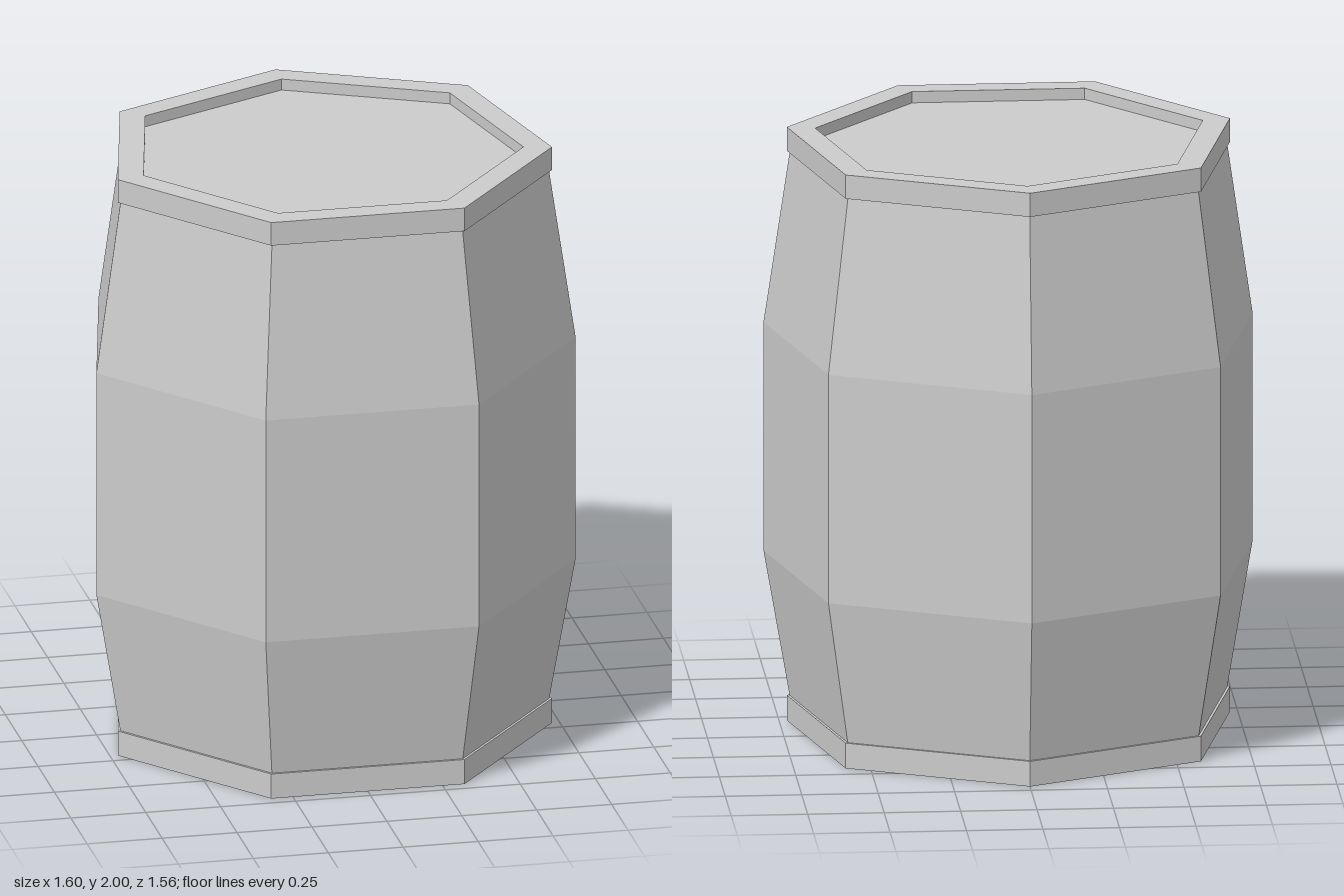
import * as THREE from 'three';

const SIDES = 7;

export function createModel() {
  const barrel = new THREE.Group();
  barrel.name = 'barrel';
  const material = new THREE.MeshStandardMaterial({ color: 0xcccccc, flatShading: true });

  // Revolves a [radius, height] profile, listed bottom to top on the outside
  function addRing(name, profile) {
    const points = profile.map(([r, y]) => new THREE.Vector2(r, y));
    const mesh = new THREE.Mesh(new THREE.LatheGeometry(points, SIDES, Math.PI), material);
    mesh.name = name;
    mesh.position.z = 0.04; // centres the odd-sided outline, corner to the back
    barrel.add(mesh);
  }

  const endR = 0.733, bellyR = 0.82, hoopR = 0.743, innerR = 0.65;

  // Bulging staves
  addRing('staves', [[endR, 0.08], [bellyR, 0.57], [bellyR, 1.34], [endR, 1.92]]);

  // Bottom hoop with a shallow recessed base
  addRing('bottomHoop', [[innerR, 0.012], [innerR, 0], [hoopR, 0], [hoopR, 0.085], [endR - 0.01, 0.085]]);
  addRing('base', [[0, 0.012], [innerR, 0.012]]);

  // Top hoop with a recessed lid
  addRing('topHoop', [[endR - 0.01, 1.92], [hoopR, 1.92], [hoopR, 2], [innerR, 2], [innerR, 1.962]]);
  addRing('lid', [[innerR, 1.962], [0, 1.962]]);

  return barrel;
}
